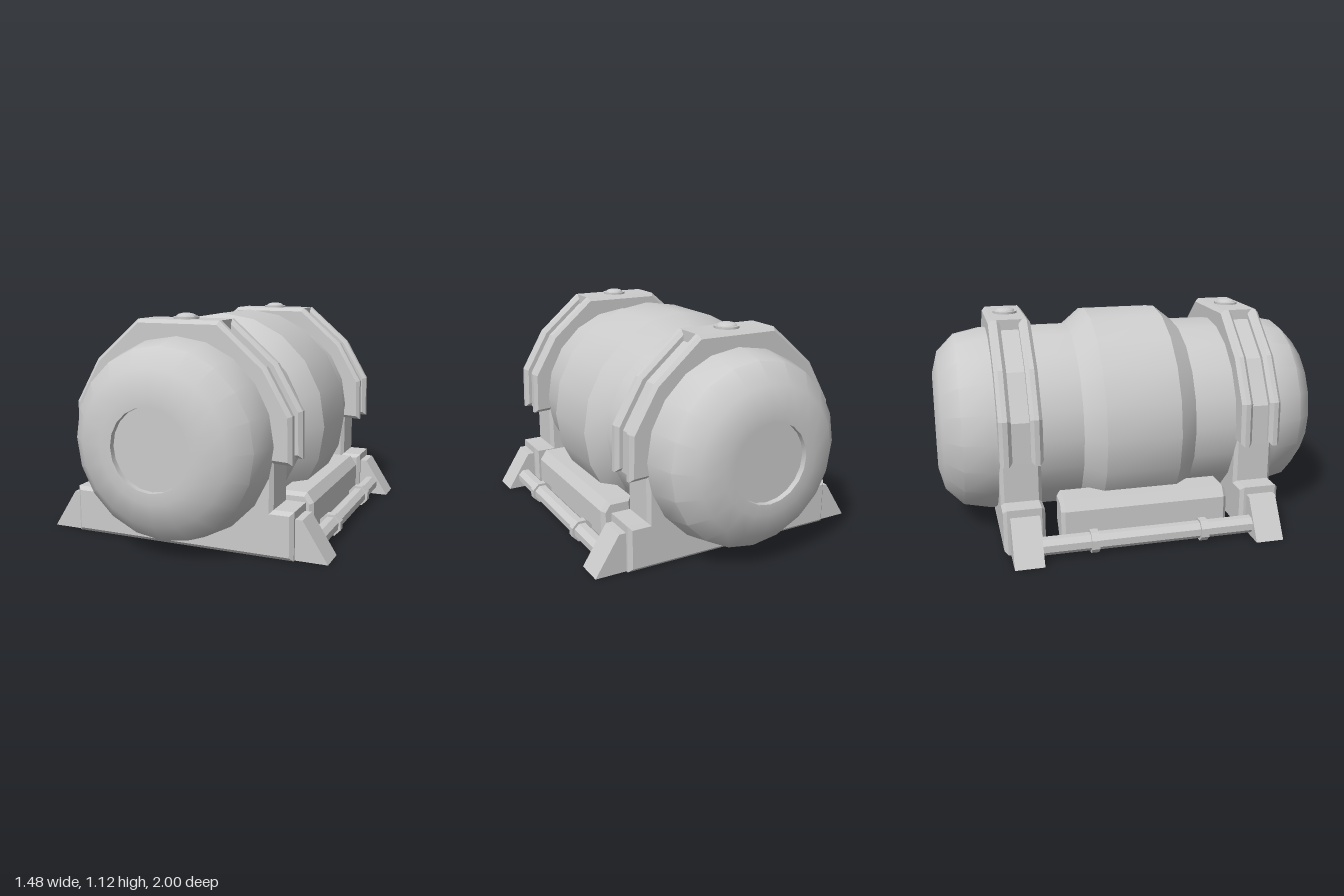
import * as THREE from 'three';
import { toCreasedNormals } from 'three/addons/utils/BufferGeometryUtils.js';

const AXIS_Y = 0.535;
const material = new THREE.MeshStandardMaterial({ color: 0xcccccc });

function add(parent, name, geometry, crease = 0.6) {
  const mesh = new THREE.Mesh(toCreasedNormals(geometry, crease), material);
  mesh.name = name;
  parent.add(mesh);
  return mesh;
}

// Extrudes an outline along z between z0 and z1, with its bevel kept inside the outline
function slab(shape, z0, z1, bevel = 0) {
  const geometry = new THREE.ExtrudeGeometry(shape, {
    depth: z1 - z0 - 2 * bevel, bevelEnabled: bevel > 0, bevelSegments: 1,
    bevelSize: bevel, bevelThickness: bevel, bevelOffset: -bevel,
  });
  return geometry.translate(0, 0, z0 + bevel);
}

const polygon = (pts) => new THREE.Shape(pts.map(([x, y]) => new THREE.Vector2(x, y)));

// Continues the right half of an outline with its mirror image
const mirrored = (pts) => [...pts, ...pts.map(([x, y]) => [-x, y]).reverse()];

// Points on a circle round the tank's axis, in degrees
function arc(radius, from, to, steps) {
  return Array.from({ length: steps + 1 }, (_, i) => {
    const a = THREE.MathUtils.degToRad(from + ((to - from) * i) / steps);
    return [radius * Math.cos(a), AXIS_Y + radius * Math.sin(a)];
  });
}

// Strap over the tank; inset lowers its outer faces
function strapShape(inset) {
  const outer = [[0.57, 0.45], [0.565, 0.677], [0.44, 0.895], [0.21, 1.095]]
    .map(([x, y], i) => [x - inset, i ? y - inset * 0.6 : y]);
  return polygon([...mirrored(outer), ...arc(0.455, 190, -10, 20)]);
}

// Tank with recessed ends and a raised middle band, cut flat underneath
function tankGeometry() {
  const half = [[0, 0.97], [0.197, 0.97], [0.197, 1], [0.25, 1], [0.365, 0.97],
    [0.455, 0.88], [0.485, 0.74], [0.485, 0.29], [0.565, 0.19]];
  const profile = [...half.map(([r, z]) => [r, -z]), ...half.slice().reverse()]
    .map(([r, z]) => new THREE.Vector2(r, z));
  const geometry = new THREE.LatheGeometry(profile, 20);
  geometry.rotateX(Math.PI / 2).translate(0, AXIS_Y, 0);
  const p = geometry.attributes.position;
  for (let i = 0; i < p.count; i++) {
    if (Math.abs(p.getZ(i)) < 0.2) p.setY(i, Math.max(p.getY(i), 0.1));
  }
  return geometry;
}

// Cradle, strap, bolt and feet, around z = 0
function createSupport() {
  const support = new THREE.Group();
  support.name = 'support';

  // Cradle block with two uprights hugging the tank
  const cradle = polygon([
    ...mirrored([[0.48, 0.47], [0.48, 0.235], [0.58, 0.235], [0.58, 0]]),
    ...arc(0.455, 188, 352, 18),
  ]);
  add(support, 'cradle', slab(cradle, -0.103, 0.103, 0.018), 0.4);

  // Grooved strap: two rails, a sunken web and a solid top
  for (const z of [-0.105, 0.045]) add(support, 'strapRail', slab(strapShape(0), z, z + 0.06, 0.018), 0.3);
  add(support, 'strapWeb', slab(strapShape(0.035), -0.06, 0.06), 0.3);
  add(support, 'strapTop', new THREE.BoxGeometry(0.42, 0.095, 0.17).translate(0, 1.0475, 0));

  // Domed bolt on a washer
  add(support, 'washer', new THREE.CylinderGeometry(0.062, 0.062, 0.02, 16).translate(0, 1.096, 0));
  const dome = new THREE.SphereGeometry(0.05, 16, 4, 0, Math.PI * 2, 0, Math.PI / 2);
  add(support, 'bolt', dome.scale(1, 0.36, 1).translate(0, 1.105, 0));

  // Sloping feet
  for (const s of [-1, 1]) {
    const pts = [[0.55, 0], [0.74, 0], [0.615, 0.197], [0.55, 0.197]].map(([x, y]) => [s * x, y]);
    add(support, 'foot', slab(polygon(pts), -0.072, 0.072), 0.3);
  }
  return support;
}

export function createModel() {
  const model = new THREE.Group();
  model.name = 'tankOnCradle';
  add(model, 'tank', tankGeometry());

  for (const s of [-1, 1]) {
    const support = createSupport();
    support.position.z = s * 0.61;
    model.add(support);

    // Side housing beside the middle band: a cover open underneath, with closed ends
    const outline = (pts) => polygon(pts.map(([x, y]) => [s * x, y]));
    const cover = outline([[0.585, 0.005], [0.585, 0.2], [0.55, 0.25], [0.42, 0.25],
      [0.42, 0.21], [0.53, 0.21], [0.555, 0.18], [0.555, 0.005]]);
    add(model, 'sideHousing', slab(cover, -0.41, 0.41), 0.3);
    const end = outline([[0.42, 0.1], [0.5, 0.005], [0.585, 0.005], [0.585, 0.2], [0.55, 0.25], [0.42, 0.25]]);
    for (const z of [-0.43, 0.39]) add(model, 'housingEnd', slab(end, z, z + 0.04, 0.019), 0.3);

    // Eight-sided rail between the feet, with two collars
    const rod = (radius, length, z) => new THREE.CylinderGeometry(radius, radius, length, 8)
      .rotateY(Math.PI / 8).rotateX(Math.PI / 2).translate(s * 0.638, 0.06, z);
    add(model, 'sideRail', rod(0.045, 1.1, 0));
    for (const z of [-0.28, 0.28]) add(model, 'railCollar', rod(0.058, 0.04, z));
  }
  return model;
}
